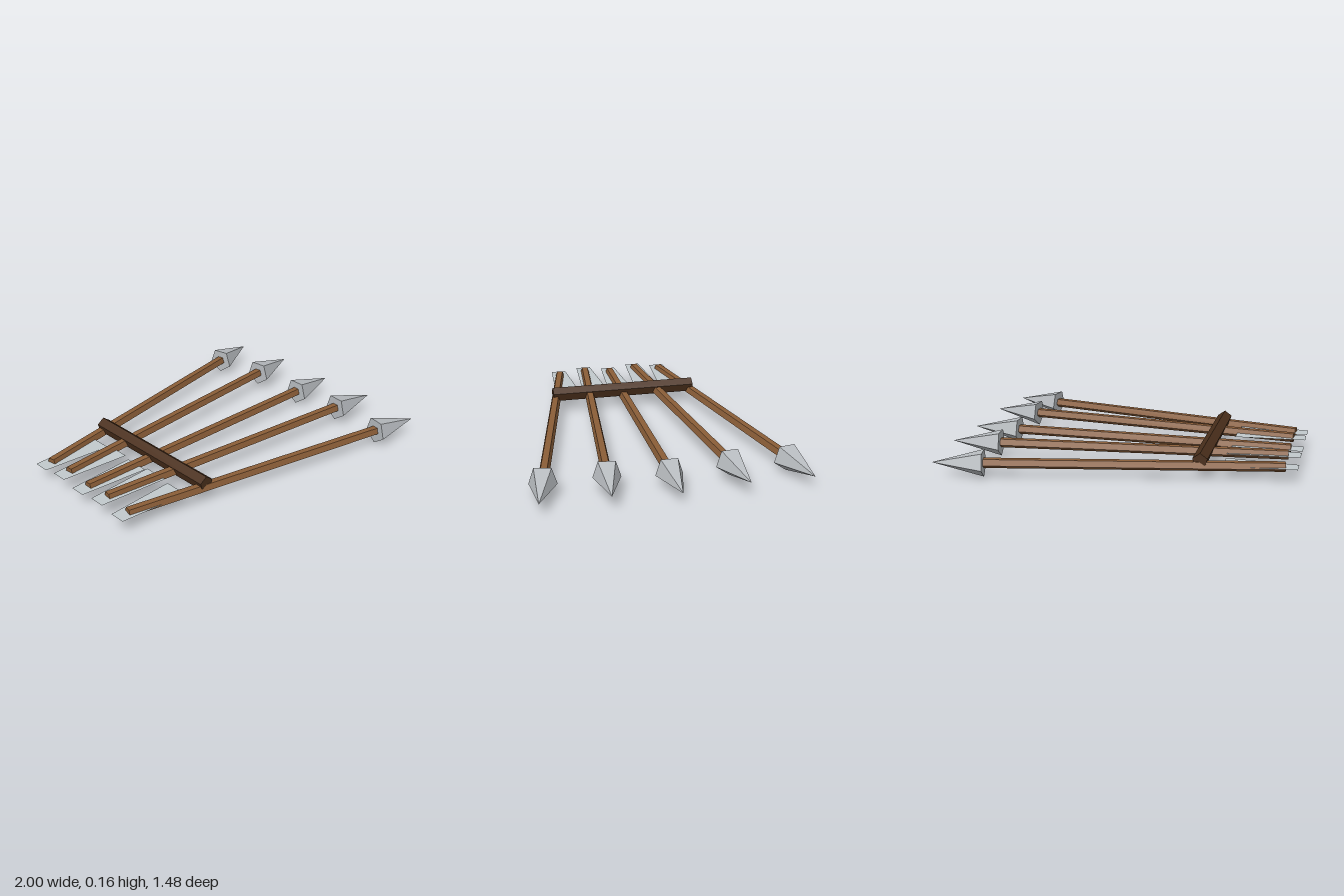
import * as THREE from 'three';

const flat = (name, color, side = THREE.FrontSide) => {
  const m = new THREE.MeshStandardMaterial({ color, flatShading: true, side });
  m.name = name;
  return m;
};

export function createModel() {
  const wood = flat('wood', 0x8b5e38);
  const darkWood = flat('darkWood', 0x4a2f1b);
  const steel = flat('steel', 0xb9bdc1);
  const feather = flat('feather', 0xc2c9cc, THREE.DoubleSide);

  const model = new THREE.Group();
  model.name = 'arrowBundle';
  const add = (parent, name, geometry, material) => {
    const mesh = new THREE.Mesh(geometry, material);
    mesh.name = name;
    parent.add(mesh);
    return mesh;
  };

  // Five-sided rod or cone lying along +x, one corner pointing down
  const alongX = (rFront, rBack, x0, x1) =>
    new THREE.CylinderGeometry(rFront, rBack, x1 - x0, 5)
      .rotateZ(-Math.PI / 2)
      .rotateX(Math.PI / 2)
      .translate((x0 + x1) / 2, 0, 0);

  const shaftGeo = alongX(0.03, 0.03, 0, 1.65);
  const headGeo = alongX(0, 0.08, 1.645, 1.93);

  // Flat tapered vane, wider toward the front
  const vaneGeo = new THREE.ShapeGeometry(new THREE.Shape([
    new THREE.Vector2(-1, -0.046),
    new THREE.Vector2(-0.595, -0.075),
    new THREE.Vector2(-0.595, 0.075),
    new THREE.Vector2(-1, 0.046),
  ])).rotateX(-Math.PI / 2);

  // Fan of five arrows, every other one raised a little
  for (let i = -2; i <= 2; i++) {
    const y = 0.085 + (Math.abs(i) === 1 ? 0.016 : 0);
    const arrow = new THREE.Group();
    arrow.name = `arrow${i + 3}`;
    arrow.position.set(-0.93, y, 0.17 * i);
    arrow.rotation.y = -0.1 * i;
    add(arrow, 'shaft', shaftGeo, wood);
    add(arrow, 'arrowhead', headGeo, steel);
    model.add(arrow);
    add(model, `fletching${i + 3}`, vaneGeo, feather).position.set(0, y, 0.17 * i);
  }

  // Bar binding the arrows together, ridge upward
  const barGeo = new THREE.CylinderGeometry(0.044, 0.044, 0.9, 5).rotateX(-Math.PI / 2);
  add(model, 'crossbar', barGeo, darkWood).position.set(-0.479, 0.116, 0);

  return model;
}
